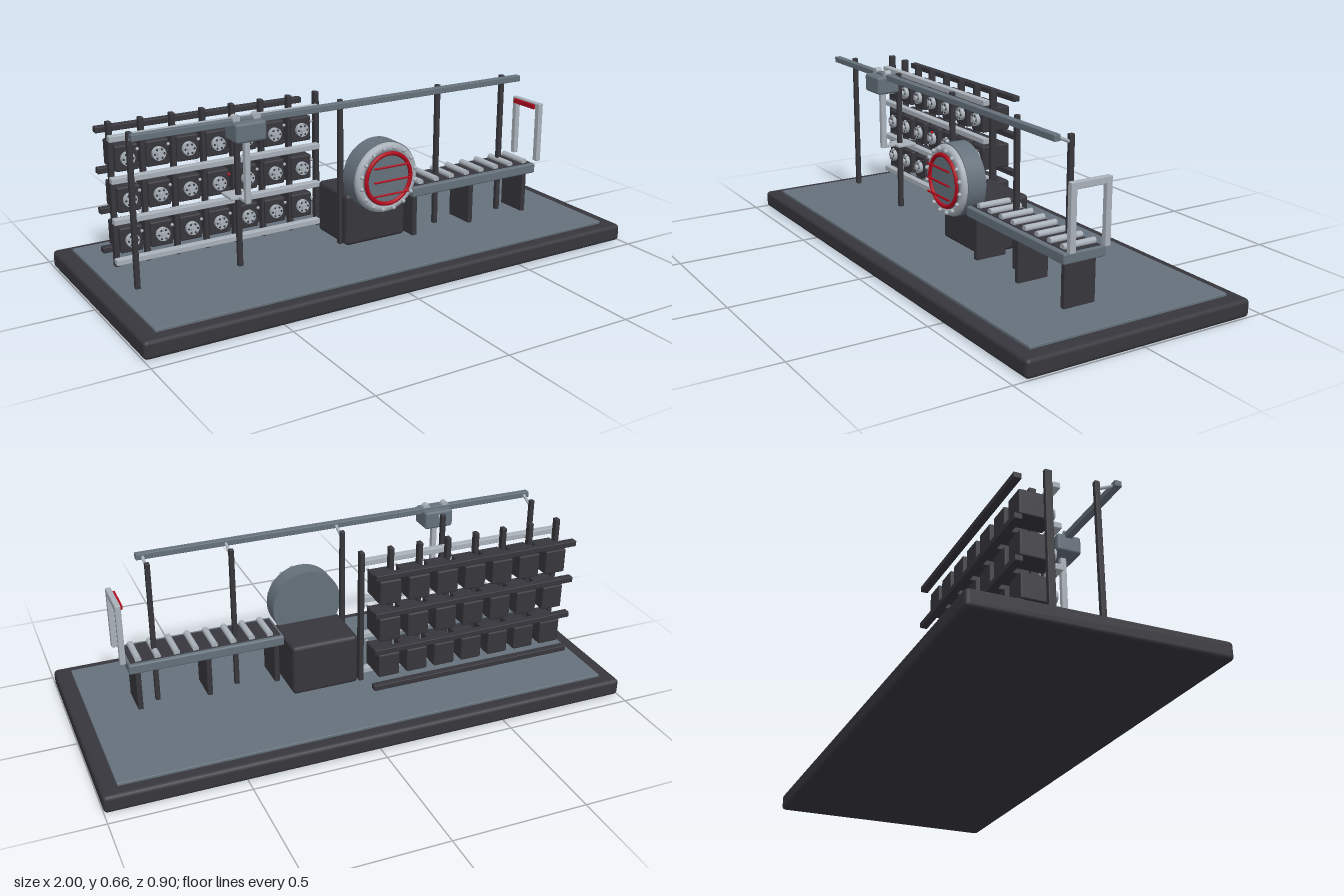
import * as THREE from 'three';
import { RoundedBoxGeometry } from 'three/addons/geometries/RoundedBoxGeometry.js';

const paint = (name, color) => {
  const m = new THREE.MeshStandardMaterial({ color });
  m.name = name;
  return m;
};

export function createModel() {
  const dark = paint('charcoal', 0x37363c);
  const slate = paint('slate grey', 0x65717b);
  const light = paint('light steel', 0xa9b1b9);
  const red = paint('signal red', 0xb00a1c);

  const model = new THREE.Group();
  model.name = 'processingLine';
  const group = (name) => {
    const g = new THREE.Group();
    g.name = name;
    model.add(g);
    return g;
  };
  const add = (parent, name, geometry, material, x, y, z) => {
    const m = new THREE.Mesh(geometry, material);
    m.name = name;
    m.position.set(x, y, z);
    parent.add(m);
    return m;
  };
  // Box given by its limits on each axis, with softened edges
  const box = (parent, name, mat, [x0, x1], [y0, y1], [z0, z1], r = 0.003) =>
    add(parent, name, new RoundedBoxGeometry(x1 - x0, y1 - y0, z1 - z0, 2, r), mat,
      (x0 + x1) / 2, (y0 + y1) / 2, (z0 + z1) / 2);
  // Cylinder between two points
  const rod = (parent, name, mat, a, b, r, sides = 12) => {
    const p = new THREE.Vector3(...a), q = new THREE.Vector3(...b);
    const m = add(parent, name, new THREE.CylinderGeometry(r, r, p.distanceTo(q), sides), mat, 0, 0, 0);
    m.position.copy(p).lerp(q, 0.5);
    m.quaternion.setFromUnitVectors(new THREE.Vector3(0, 1, 0), q.sub(p).normalize());
    return m;
  };
  const ball = (parent, name, mat, r, x, y, z) =>
    add(parent, name, new THREE.SphereGeometry(r, 10, 8), mat, x, y, z);

  // Base slab and floor plate
  const base = group('base');
  box(base, 'baseSlab', dark, [-1, 1], [0, 0.066], [-0.45, 0.45], 0.015);
  box(base, 'floorPlate', slate, [-0.94, 0.94], [0.06, 0.076], [-0.4, 0.4]);

  // Storage rack: posts, front and back rails, rows of modules
  const rack = group('rack');
  for (let i = 0; i < 8; i++) {
    const x = -0.872 + i * 0.116;
    box(rack, 'rackPost', dark, [x - 0.009, x + 0.009], [0.095, 0.625], [-0.125, -0.099]);
  }
  for (let i = 0; i < 4; i++) {
    const y = 0.12 + i * 0.15;
    box(rack, 'frontRail', light, [-0.885, -0.065], [y - 0.011, y + 0.011], [-0.1, -0.073]);
    box(rack, 'backRail', dark, [-0.885, -0.065], [y - 0.011, y + 0.011], [-0.238, -0.21]);
  }
  for (let row = 0; row < 3; row++) {
    for (let col = 0; col < 7; col++) {
      const x = -0.82 + col * 0.114, y = 0.193 + row * 0.15;
      box(rack, 'moduleBox', dark, [x - 0.042, x + 0.042], [y - 0.047, y + 0.047], [-0.21, -0.088], 0.006);
      rod(rack, 'moduleDial', light, [x, y, -0.09], [x, y, -0.073], 0.025, 16);
      rod(rack, 'dialHub', light, [x, y, -0.075], [x, y, -0.065], 0.01);
      for (let k = 0; k < 6; k++) {
        const a = k * Math.PI / 3;
        const sx = x + 0.018 * Math.cos(a), sy = y + 0.018 * Math.sin(a);
        rod(rack, 'dialBolt', dark, [sx, sy, -0.075], [sx, sy, -0.071], 0.004, 6);
      }
      const lamp = row === 1 && col === 3 ? red : light;
      rod(rack, 'lampStem', dark, [x + 0.03, y + 0.034, -0.09], [x + 0.03, y + 0.034, -0.068], 0.003, 6);
      ball(rack, 'statusLamp', lamp, 0.006, x + 0.03, y + 0.034, -0.065);
    }
  }

  // Round chamber on its dark housing
  const chamber = group('chamber');
  const cx = 0.075, cy = 0.342;
  box(chamber, 'chamberHousing', dark, [-0.058, 0.203], [0.075, 0.276], [-0.1, 0.112], 0.015);
  rod(chamber, 'drum', slate, [cx, cy, 0.09], [cx, cy, 0.165], 0.136, 48);
  rod(chamber, 'doorDisc', slate, [cx, cy, 0.16], [cx, cy, 0.186], 0.105, 48);
  add(chamber, 'doorFlange', new THREE.TorusGeometry(0.115, 0.018, 12, 48), light, cx, cy, 0.167);
  add(chamber, 'redSeal', new THREE.TorusGeometry(0.096, 0.008, 10, 48), red, cx, cy, 0.188);
  for (let i = 0; i < 16; i++) {
    const a = (i + 0.5) * Math.PI / 8;
    ball(chamber, 'flangeBolt', light, 0.008, cx + 0.118 * Math.cos(a), cy + 0.118 * Math.sin(a), 0.19);
  }
  for (const dy of [-0.053, 0, 0.053])
    rod(chamber, 'doorBar', red, [cx - 0.075, cy + dy, 0.21], [cx + 0.075, cy + dy, 0.21], 0.004, 8);

  // Roller conveyor
  const conveyor = group('conveyor');
  box(conveyor, 'conveyorBed', slate, [0.2, 0.79], [0.238, 0.276], [0, 0.168], 0.006);
  box(conveyor, 'bedInset', dark, [0.21, 0.78], [0.272, 0.279], [0.015, 0.15], 0.001);
  for (let i = 0; i < 8; i++) {
    const x = 0.25 + i * 0.0715;
    rod(conveyor, 'roller', light, [x, 0.285, 0.018], [x, 0.285, 0.147], 0.012, 16);
  }
  for (const x of [0.225, 0.49, 0.755])
    box(conveyor, 'conveyorLeg', dark, [x - 0.01, x + 0.01], [0.075, 0.245], [0.02, 0.146]);

  // Scanner arch at the end of the conveyor
  const arch = group('scannerArch');
  box(arch, 'archLegBack', light, [0.797, 0.818], [0.283, 0.51], [0.004, 0.026]);
  box(arch, 'archLegFront', light, [0.797, 0.818], [0.283, 0.51], [0.142, 0.165]);
  box(arch, 'archTop', light, [0.797, 0.818], [0.493, 0.518], [0.004, 0.165]);
  box(arch, 'scannerStrip', red, [0.788, 0.798], [0.494, 0.512], [0.02, 0.142], 0.001);

  // Overhead rail on poles with slanted brackets
  const gantry = group('gantry');
  box(gantry, 'overheadRail', slate, [-0.89, 0.705], [0.621, 0.644], [0.127, 0.153]);
  for (const x of [-0.868, -0.478, -0.06, 0.372, 0.68]) {
    box(gantry, 'railPole', dark, [x - 0.009, x + 0.009], [0.075, 0.633], [0.059, 0.078]);
    rod(gantry, 'railBracket', light, [x, 0.606, 0.072], [x, 0.634, 0.135], 0.006, 8);
  }

  // Travelling carriage with hanging lifter
  const carriage = group('carriage');
  box(carriage, 'carriageBody', slate, [-0.536, -0.42], [0.566, 0.636], [0.096, 0.19], 0.01);
  for (const x of [-0.517, -0.439])
    rod(carriage, 'carriageWheel', light, [x, 0.644, 0.129], [x, 0.644, 0.154], 0.014, 16);
  box(carriage, 'lifterColumn', light, [-0.488, -0.468], [0.335, 0.575], [0.132, 0.154]);
  box(carriage, 'lifterArm', light, [-0.488, -0.468], [0.335, 0.347], [0.085, 0.145]);
  box(carriage, 'lifterTray', light, [-0.518, -0.438], [0.335, 0.346], [0.014, 0.096]);

  return model;
}
